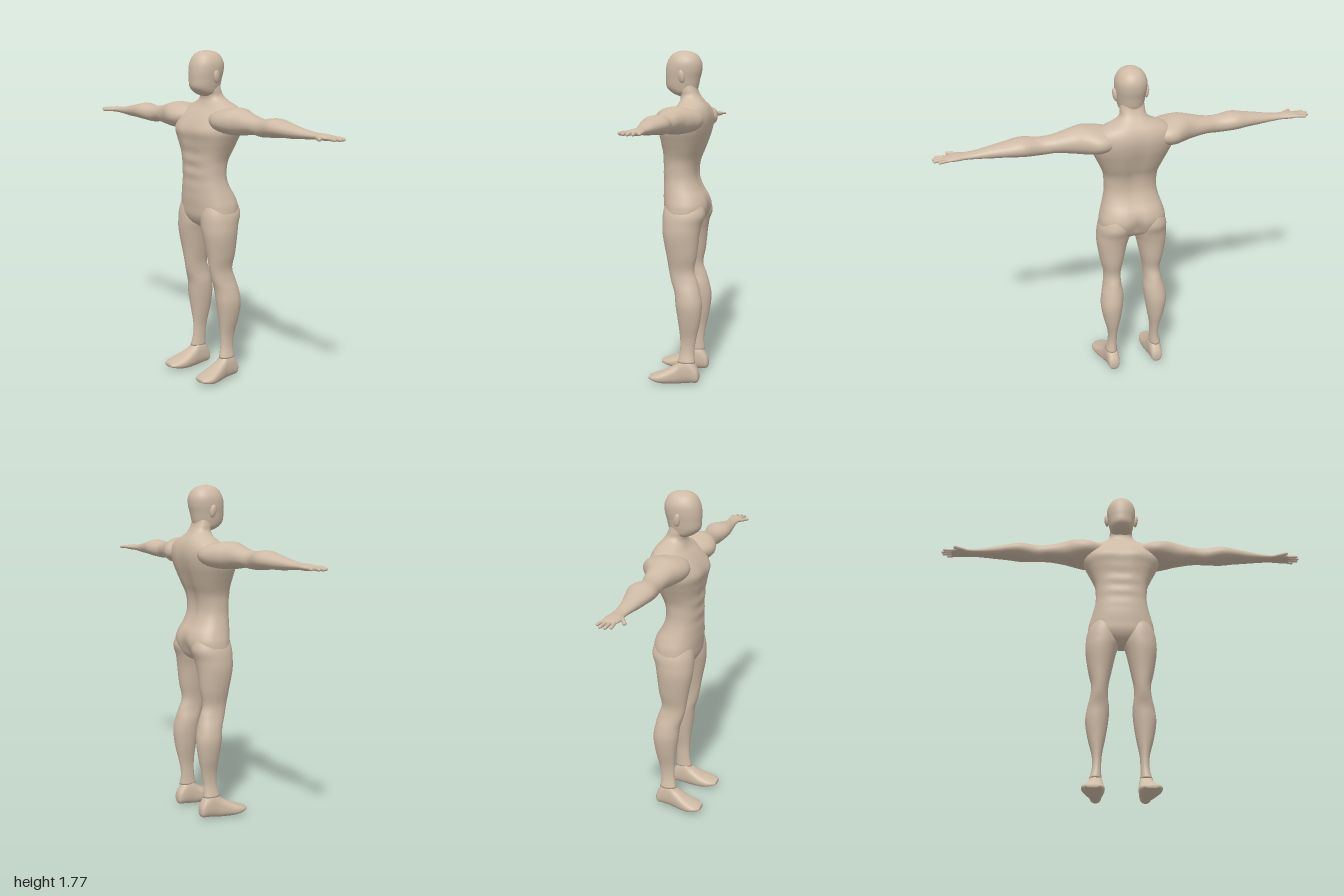
import * as THREE from 'three';

const SEG = 36, STEPS = 5;

// Catmull-Rom blend of one column of a section table
function spline(rows, i, f, k) {
  const at = (j) => rows[Math.min(rows.length - 1, Math.max(0, j))][k];
  const p0 = at(i - 1), p1 = at(i), p2 = at(i + 1), p3 = at(i + 2);
  const m1 = (p2 - p0) / 2, m2 = (p3 - p1) / 2, f2 = f * f, f3 = f2 * f;
  return (2 * f3 - 3 * f2 + 1) * p1 + (f3 - 2 * f2 + f) * m1 + (3 * f2 - 2 * f3) * p2 + (f3 - f2) * m2;
}

// Smooth skin through rows [t, a0, a1, b0, b1] along an axis; n squares the section
function loft(axis, rows, { n = 2, mirror = false, shape = null } = {}) {
  const pos = [], idx = [], flip = (axis === 'y') !== mirror, v = new THREE.Vector3();
  const put = (t, a, b) => {
    if (axis === 'y') v.set(a, t, b);
    else if (axis === 'x') v.set(t, a, b);
    else v.set(a, b, t);
    if (shape) shape(v);
    pos.push(mirror ? -v.x : v.x, v.y, v.z);
  };
  const tri = (a, b, c) => (flip ? idx.push(a, c, b) : idx.push(a, b, c));
  const power = (c) => Math.sign(c) * Math.abs(c) ** (2 / n);
  const rings = (rows.length - 1) * STEPS + 1;
  for (let r = 0; r < rings; r++) {
    const i = Math.min(rows.length - 2, Math.floor(r / STEPS)), f = r / STEPS - i;
    const [t, a0, a1, b0, b1] = [0, 1, 2, 3, 4].map((k) => spline(rows, i, f, k));
    for (let s = 0; s < SEG; s++) {
      const u = (s / SEG) * Math.PI * 2;
      put(t, (a0 + a1) / 2 + ((a1 - a0) / 2) * power(Math.cos(u)),
        (b0 + b1) / 2 + ((b1 - b0) / 2) * power(Math.sin(u)));
    }
  }
  for (let r = 0; r < rings - 1; r++) {
    for (let s = 0; s < SEG; s++) {
      const p = r * SEG + s, q = r * SEG + ((s + 1) % SEG);
      tri(p, q, q + SEG);
      tri(p, q + SEG, p + SEG);
    }
  }
  // End caps
  const first = rows[0], last = rows[rows.length - 1], c = rings * SEG, e = (rings - 1) * SEG;
  for (const w of [first, last]) put(w[0], (w[1] + w[2]) / 2, (w[3] + w[4]) / 2);
  for (let s = 0; s < SEG; s++) {
    const s1 = (s + 1) % SEG;
    tri(c, s1, s);
    tri(c + 1, e + s, e + s1);
  }
  const g = new THREE.BufferGeometry();
  g.setAttribute('position', new THREE.Float32BufferAttribute(pos, 3));
  g.setIndex(idx);
  g.computeVertexNormals();
  return g;
}

const sym = (rows) => rows.map(([y, w, z0, z1]) => [y, -w, w, z0, z1]);
const bell = (d, r) => Math.exp(-((d / r) ** 2));

// [y, half width, back z, front z]
const TORSO = sym([
  [0.835, 0.02, -0.05, 0.03], [0.86, 0.1, -0.1, 0.065], [0.9, 0.172, -0.13, 0.086],
  [0.95, 0.178, -0.146, 0.092], [1.0, 0.165, -0.135, 0.096], [1.05, 0.15, -0.105, 0.096],
  [1.1, 0.14, -0.086, 0.095], [1.15, 0.14, -0.083, 0.096], [1.2, 0.146, -0.092, 0.097],
  [1.25, 0.166, -0.112, 0.1], [1.3, 0.19, -0.13, 0.108], [1.35, 0.212, -0.146, 0.112],
  [1.4, 0.218, -0.155, 0.092], [1.44, 0.205, -0.152, 0.062], [1.475, 0.165, -0.138, 0.028],
  [1.505, 0.095, -0.115, 0.012], [1.53, 0.068, -0.095, 0.01], [1.56, 0.064, -0.08, 0.02],
  [1.6, 0.06, -0.07, 0.03],
]);
const HEAD = sym([
  [1.53, 0.03, -0.03, 0.02], [1.545, 0.055, -0.065, 0.055], [1.575, 0.066, -0.08, 0.086],
  [1.62, 0.074, -0.09, 0.091], [1.66, 0.08, -0.1, 0.091], [1.7, 0.079, -0.1, 0.084],
  [1.735, 0.063, -0.083, 0.066], [1.755, 0.038, -0.055, 0.04], [1.765, 0.004, -0.01, 0.004],
]);
// [x, bottom y, top y, back z, front z]
const ARM = [
  [0.1, 1.37, 1.46, -0.12, 0.06], [0.16, 1.35, 1.473, -0.145, 0.09], [0.21, 1.345, 1.48, -0.143, 0.096],
  [0.26, 1.345, 1.484, -0.115, 0.085], [0.315, 1.35, 1.473, -0.084, 0.066], [0.4, 1.362, 1.452, -0.066, 0.052],
  [0.47, 1.357, 1.446, -0.053, 0.052], [0.56, 1.363, 1.456, -0.072, 0.066], [0.63, 1.369, 1.444, -0.06, 0.06],
  [0.7, 1.371, 1.432, -0.044, 0.048], [0.78, 1.378, 1.418, -0.034, 0.036], [0.84, 1.382, 1.413, -0.032, 0.033],
  [0.88, 1.382, 1.413, -0.038, 0.04], [0.92, 1.385, 1.409, -0.041, 0.037], [0.945, 1.39, 1.404, -0.038, 0.032],
];
// [y, inner x, outer x, back z, front z]
const LEG = [
  [0.12, 0.098, 0.162, -0.095, 0.0], [0.18, 0.1, 0.148, -0.09, -0.012], [0.25, 0.097, 0.15, -0.1, -0.013],
  [0.34, 0.08, 0.172, -0.12, -0.003], [0.43, 0.066, 0.186, -0.13, 0.01], [0.5, 0.061, 0.178, -0.12, 0.018],
  [0.56, 0.068, 0.163, -0.104, 0.037], [0.62, 0.066, 0.158, -0.086, 0.05], [0.7, 0.05, 0.175, -0.1, 0.063],
  [0.8, 0.028, 0.19, -0.111, 0.082], [0.86, 0.01, 0.19, -0.122, 0.087], [0.92, 0.01, 0.182, -0.14, 0.085],
  [0.99, 0.03, 0.15, -0.12, 0.07],
];
// [z, inner x, outer x, bottom y, top y]
const FOOT = [
  [-0.116, 0.11, 0.145, 0.03, 0.06], [-0.105, 0.097, 0.157, 0.012, 0.09], [-0.07, 0.092, 0.162, 0.008, 0.135],
  [-0.03, 0.09, 0.166, 0.003, 0.14], [0.0, 0.087, 0.174, 0.0, 0.112], [0.05, 0.083, 0.19, 0.0, 0.082],
  [0.09, 0.085, 0.2, 0.005, 0.064], [0.125, 0.094, 0.195, 0.015, 0.051], [0.15, 0.112, 0.175, 0.023, 0.042],
];
// [root x, root z, tip x, tip z, radius]
const FINGERS = [
  [0.925, -0.032, 0.968, -0.04, 0.007], [0.93, -0.013, 0.99, -0.017, 0.0078],
  [0.93, 0.006, 0.992, 0.007, 0.0082], [0.925, 0.024, 0.98, 0.031, 0.0078], [0.865, 0.03, 0.918, 0.063, 0.0095],
];

// Muscle relief: chest, stomach, spine and seat
function torsoRelief(v) {
  if (v.z > 0.02) {
    v.z += 0.006 * bell(Math.abs(v.x) - 0.09, 0.07) * bell(v.y - 1.36, 0.035);
    v.z -= 0.006 * bell(v.x, 0.02) * bell(v.y - 1.3, 0.13);
    v.z += 0.003 * Math.sin(v.y * 85) * bell(v.x, 0.09) * bell(v.y - 1.17, 0.1);
  } else if (v.z < -0.03) {
    v.z += 0.014 * bell(v.x, 0.03) * bell(v.y - 1.25, 0.2);
    v.z += 0.025 * bell(v.x, 0.022) * bell(v.y - 0.92, 0.06);
  }
}

export function createModel() {
  const model = new THREE.Group();
  model.name = 'figure';
  const skin = new THREE.MeshStandardMaterial({ color: 0xcfbba6 });
  skin.name = 'skin';
  const add = (name, geometry, parent = model) => {
    const mesh = new THREE.Mesh(geometry, skin);
    mesh.name = name;
    parent.add(mesh);
    return mesh;
  };

  add('torsoAndNeck', loft('y', TORSO, { n: 2.4, shape: torsoRelief }));
  add('head', loft('y', HEAD, { n: 2.15 }));

  for (const side of [1, -1]) {
    const prefix = side > 0 ? 'left' : 'right', mirror = side < 0;
    add(prefix + 'Arm', loft('x', ARM, { n: 2.1, mirror }));
    add(prefix + 'Leg', loft('y', LEG, { n: 2.1, mirror }));
    add(prefix + 'Foot', loft('z', FOOT, { n: 2.4, mirror }));

    const ear = add(prefix + 'Ear', new THREE.SphereGeometry(1, 16, 12));
    ear.scale.set(0.012, 0.034, 0.018);
    ear.position.set(side * 0.083, 1.63, -0.01);
    ear.rotation.set(0.15, 0, side * -0.12);

    // Fingers and thumb
    const hand = new THREE.Group();
    hand.name = prefix + 'Fingers';
    model.add(hand);
    FINGERS.forEach(([x0, z0, x1, z1, r], i) => {
      const a = new THREE.Vector3(side * x0, 1.397, z0), b = new THREE.Vector3(side * x1, 1.395, z1);
      const dir = b.clone().sub(a);
      const finger = add(i === 4 ? 'thumb' : 'finger', new THREE.CapsuleGeometry(r, dir.length(), 5, 10), hand);
      finger.position.copy(a).add(b).multiplyScalar(0.5);
      finger.quaternion.setFromUnitVectors(new THREE.Vector3(0, 1, 0), dir.normalize());
    });
  }
  return model;
}
